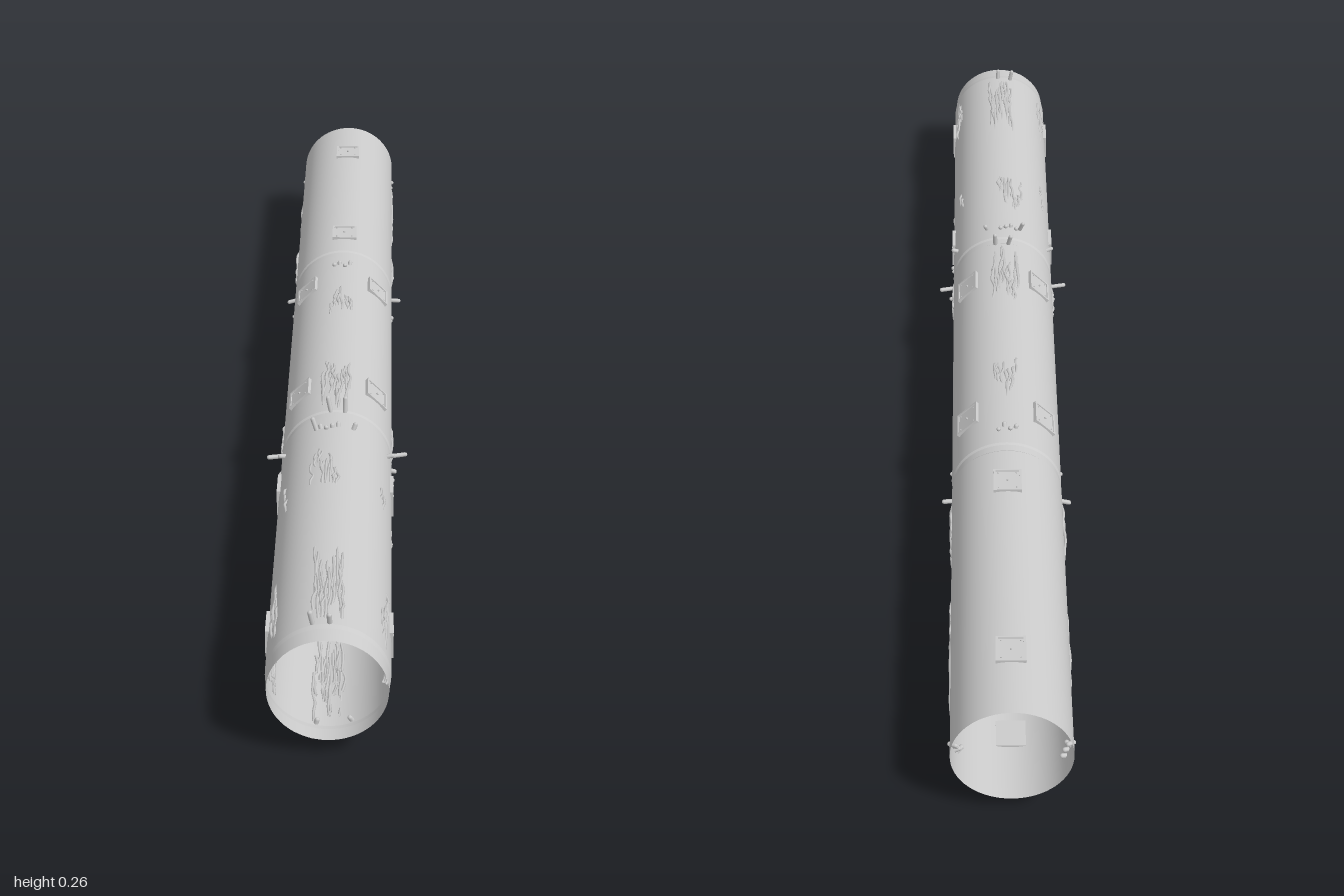
import * as THREE from 'three';
import { mergeGeometries } from 'three/addons/utils/BufferGeometryUtils.js';

const R = 0.1, CY = 0.13;
const mat = new THREE.MeshStandardMaterial({ color: 0xcccccc, side: THREE.DoubleSide });

let seed = 7;
const rnd = () => (seed = (seed * 16807) % 2147483647) / 2147483647;
const spread = (s) => (rnd() - 0.5) * 2 * s;
const rad = (deg) => deg * Math.PI / 180;

// Point on the pipe: angle in degrees (0 = +x, 90 = top), radius, z
const at = (deg, r, z) => new THREE.Vector3(Math.cos(rad(deg)) * r, CY + Math.sin(rad(deg)) * r, z);

function add(group, name, geometry) {
  const mesh = new THREE.Mesh(geometry, mat);
  mesh.name = name;
  group.add(mesh);
  return mesh;
}

// Open pipe wall with two shallow joint grooves and a tapered front lip
function pipeShell() {
  const joint = (z) => [[R, z - 0.012], [0.0975, z - 0.008], [0.0975, z + 0.008], [R, z + 0.012]];
  const profile = [[R, -1], ...joint(-0.345), ...joint(0.31), [R, 0.96], [0.0985, 0.97], [0.0965, 1]];
  const parts = [];
  for (let i = 0; i < profile.length - 1; i++) {
    const seg = [profile[i], profile[i + 1]].map(([r, z]) => new THREE.Vector2(r, z));
    parts.push(new THREE.LatheGeometry(seg, 64));
  }
  return mergeGeometries(parts).rotateX(Math.PI / 2).translate(0, CY, 0);
}

// Thin wavy strand lying along the pipe, dipping in and out of the wall
function strand(deg, z0, z1) {
  const pts = [];
  for (let i = 0; i <= 5; i++) {
    const lift = i === 0 || i === 5 ? 0.097 : 0.1005 + spread(0.0017);
    pts.push(at(deg + spread(1.8), lift, z0 + (z1 - z0) * i / 5));
  }
  return new THREE.TubeGeometry(new THREE.CatmullRomCurve3(pts), 12, 0.0026, 5);
}

// Patch of strands with staggered ends
function patch(deg, fan, zMin, zMax, count) {
  const list = [];
  for (let i = 0; i < count; i++) {
    const len = (zMax - zMin) * (0.3 + 0.4 * rnd());
    const z = zMin + (zMax - zMin - len) * rnd();
    list.push(strand(deg + (count > 1 ? (i / (count - 1) - 0.5) * 2 * fan : 0), z, z + len));
  }
  return mergeGeometries(list);
}

// Round-ended peg standing out of the wall
function peg(deg, tip, z, lean = 0) {
  const a = at(deg, 0.093, z), b = at(deg + lean, tip - 0.004, z + spread(0.008));
  const dir = b.clone().sub(a);
  const g = new THREE.CapsuleGeometry(0.0042, dir.length(), 3, 8);
  g.applyQuaternion(new THREE.Quaternion().setFromUnitVectors(new THREE.Vector3(0, 1, 0), dir.clone().normalize()));
  return g.translate(...a.add(b).multiplyScalar(0.5).toArray());
}

// Square hatch: plate, raised rim, centre knob and corner bolts
function hatch(deg, z) {
  const g = new THREE.Group();
  g.name = 'hatch';
  const w = 0.05, l = 0.056, t = 0.004;
  add(g, 'hatchPlate', new THREE.BoxGeometry(w, 0.006, l)).position.y = -0.002;
  for (const s of [-1, 1]) {
    add(g, 'hatchRim', new THREE.BoxGeometry(t, 0.006, l)).position.x = s * (w - t) / 2;
    add(g, 'hatchRim', new THREE.BoxGeometry(w, 0.006, t)).position.z = s * (l - t) / 2;
    for (const u of [-1, 1])
      add(g, 'hatchBolt', new THREE.CylinderGeometry(0.0012, 0.0012, 0.003, 8)).position.set(s * 0.016, 0.0015, u * 0.019);
  }
  add(g, 'hatchKnob', new THREE.CylinderGeometry(0.002, 0.002, 0.004, 10)).position.y = 0.002;
  g.position.copy(at(deg, 0.1005, z));
  g.rotation.z = rad(deg - 90);
  return g;
}

export function createModel() {
  const model = new THREE.Group();
  model.name = 'pipe';
  add(model, 'pipeShell', pipeShell());

  // Hatches: sides at the front, diagonals in the middle, top and bottom at the back
  const hatchRows = [[[0, 180], [0.85, 0.43]], [[45, 135, 225, 315], [0.19, -0.23]], [[90, 270], [-0.44, -0.86]]];
  for (const [angles, zs] of hatchRows)
    for (const deg of angles) for (const z of zs) model.add(hatch(deg, z));

  // Strand patches: [angle, fan, zMin, zMax, count]
  const crown = [
    [91, 14, 0.73, 0.96, 18], [100, 13, 0.42, 0.56, 10], [93, 15, 0.1, 0.3, 16],
    [90, 12, -0.21, -0.07, 9],
  ];
  const flank = [
    [27, 4, 0.76, 0.96, 5], [-23, 5, 0.76, 0.96, 7], [33, 2, 0.48, 0.58, 2], [-17, 5, 0.46, 0.58, 5],
    [-9, 11, 0.18, 0.31, 9], [-8, 14, -0.56, -0.36, 14], [-14, 8, -0.92, -0.58, 14],
  ];
  for (const [deg, ...rest] of crown) {
    add(model, 'topStrands', patch(deg, ...rest));
    add(model, 'bottomStrands', patch(-deg, ...rest));
  }
  for (const [deg, ...rest] of flank) {
    add(model, 'leftStrands', patch(deg, ...rest));
    add(model, 'rightStrands', patch(180 - deg, ...rest));
  }

  // Tall pegs: [angle, tip radius, z]
  const pegs = [
    [111, 0.123, 0.36], [104, 0.124, 0.955], [96, 0.126, 0.3], [88, 0.12, 0.955], [81, 0.127, 0.3], [72, 0.113, 0.36],
    [253, 0.12, 0.36], [259, 0.13, 0.955], [265, 0.13, 0.3], [275, 0.118, 0.36], [283, 0.109, 0.3], [292, 0.127, 0.955],
  ];
  for (const s of [0, 1])
    for (const [deg, tip, z] of [[-2, 0.129, 0.29], [-10, 0.12, -0.36], [-19, 0.115, 0.29], [24, 0.113, 0.36]])
      pegs.push([s ? 180 - deg : deg, tip, z]);
  add(model, 'pegs', mergeGeometries(pegs.map(([deg, tip, z]) => peg(deg, tip, z, spread(2)))));

  // Rows of low studs next to the joints and near the back end
  const studs = [];
  for (let i = 0; i < 4; i++) {
    const o = i * 6;
    for (const deg of [82 + o, 262 + o]) studs.push(peg(deg, 0.107, -0.29), peg(deg + 6, 0.107, 0.36));
    for (const deg of [-28 + o, 190 + o])
      studs.push(peg(deg, 0.106, -0.29), peg(deg, 0.106, -0.95 + spread(0.012)), peg(deg + 6, 0.106, 0.365));
  }
  add(model, 'studs', mergeGeometries(studs));

  return model;
}
